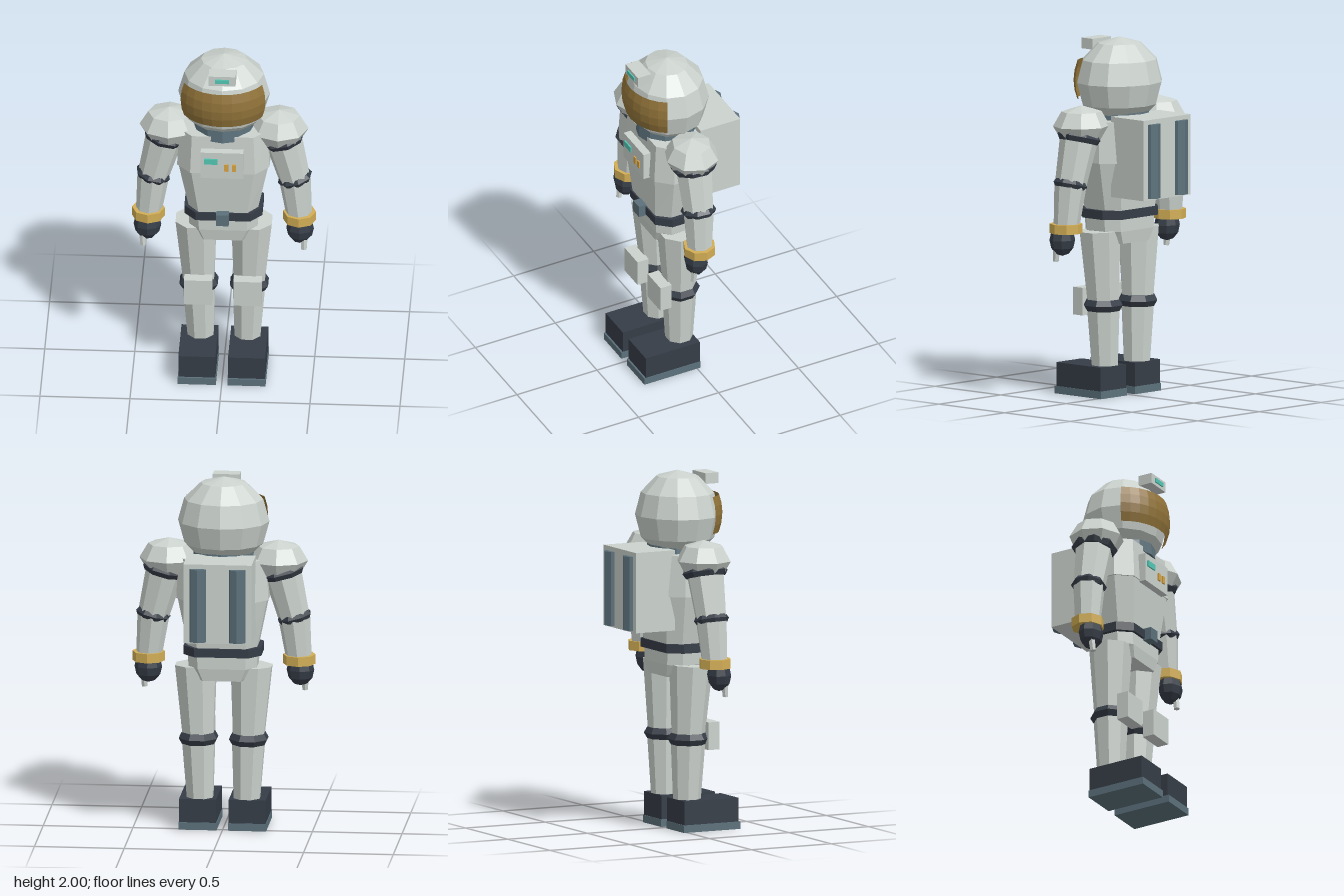
import * as THREE from 'three';

const mat = (name, color, side = THREE.FrontSide) => {
  const m = new THREE.MeshStandardMaterial({ color, flatShading: true, side });
  m.name = name;
  return m;
};

export function createModel() {
  const suit = mat('suit grey', 0xcbd2cd);
  const dark = mat('dark rubber', 0x363d47);
  const slate = mat('slate trim', 0x5c717b);
  const gold = mat('gold', 0xd2ae55);
  const visorGold = mat('visor bronze', 0x92743a, THREE.DoubleSide);
  const teal = mat('teal light', 0x52c8b4);
  const amber = mat('amber button', 0xd9a441);

  const model = new THREE.Group();
  model.name = 'astronaut';
  const Z = 0.065; // depth of the body axis
  const V = (x, y, z) => new THREE.Vector3(x, y, z);
  const UP = V(0, 1, 0);

  const add = (name, geo, m, x = 0, y = 0, z = 0) => {
    const mesh = new THREE.Mesh(geo, m);
    mesh.name = name;
    mesh.position.set(x, y, z);
    model.add(mesh);
    return mesh;
  };
  // box from its min and max on each axis
  const box = (name, m, x0, x1, y0, y1, z0, z1) =>
    add(name, new THREE.BoxGeometry(x1 - x0, y1 - y0, z1 - z0), m, (x0 + x1) / 2, (y0 + y1) / 2, (z0 + z1) / 2);
  const ellipsoid = (name, m, p, r, w, h) => {
    const mesh = add(name, new THREE.SphereGeometry(1, w, h), m, ...p);
    mesh.scale.set(...r);
    return mesh;
  };
  // eight-sided tapered limb from a (radius ra) to b (radius rb)
  const limb = (name, m, a, b, ra, rb, turn = 0, sides = 8) => {
    const geo = new THREE.CylinderGeometry(rb, ra, a.distanceTo(b), sides).rotateY(turn);
    const mesh = add(name, geo, m, ...a.clone().add(b).multiplyScalar(0.5).toArray());
    mesh.quaternion.setFromUnitVectors(UP, b.clone().sub(a).normalize());
    return mesh;
  };
  // joint ring around an axis
  const ring = (name, p, axis, r, tube, turn) => {
    const geo = new THREE.TorusGeometry(r, tube, 6, 8).rotateX(Math.PI / 2).rotateY(turn);
    const mesh = add(name, geo, dark, ...p.toArray());
    mesh.quaternion.setFromUnitVectors(UP, axis.clone().normalize());
  };
  // closed body section through octagons [y, halfWidth, halfDepth], bottom to top
  const body = (name, m, rows) => {
    const pos = [], idx = [];
    for (const [y, b, d] of rows) {
      const a = b * 0.7, e = d * 0.5;
      for (const [x, z] of [[a, d], [b, e], [b, -e], [a, -d], [-a, -d], [-b, -e], [-b, e], [-a, d]])
        pos.push(x, y, z + Z);
    }
    for (let r = 0; r < rows.length - 1; r++)
      for (let i = 0; i < 8; i++) {
        const p = r * 8 + i, q = r * 8 + (i + 1) % 8;
        idx.push(p, q, q + 8, p, q + 8, p + 8);
      }
    const t = (rows.length - 1) * 8;
    for (let i = 1; i < 7; i++) idx.push(0, i + 1, i, t, t + i, t + i + 1);
    const geo = new THREE.BufferGeometry();
    geo.setAttribute('position', new THREE.Float32BufferAttribute(pos, 3));
    geo.setIndex(idx);
    geo.computeVertexNormals();
    add(name, geo, m);
  };

  // helmet, visor and lamp
  ellipsoid('helmet', suit, [0, 1.75, Z], [0.255, 0.25, 0.23], 12, 6);
  const deg = Math.PI / 180;
  const visor = add('visor', new THREE.SphereGeometry(0.267, 10, 4, 28 * deg, 124 * deg, 67 * deg, 46 * deg),
    visorGold, 0, 1.762, Z);
  visor.scale.z = 0.92;
  box('helmetLamp', suit, -0.075, 0.075, 1.92, 1.98, 0.2, 0.283);
  box('helmetLampLight', teal, -0.04, 0.04, 1.938, 1.962, 0.282, 0.29);
  add('neckRing', new THREE.CylinderGeometry(0.165, 0.175, 0.1, 12), slate, 0, 1.57, Z);

  // torso
  body('abdomen', suit, [[1.03, 0.19, 0.14], [1.325, 0.25, 0.165]]);
  body('chest', suit, [[1.32, 0.257, 0.17], [1.55, 0.245, 0.155]]);
  body('pelvis', suit, [[0.86, 0.15, 0.125], [0.93, 0.19, 0.135], [1.02, 0.195, 0.135]]);
  body('belt', dark, [[1.0, 0.217, 0.15], [1.05, 0.217, 0.15]]);
  box('buckle', slate, -0.035, 0.035, 0.99, 1.06, 0.205, 0.255);

  // chest control panel
  box('chestPanel', suit, -0.12, 0.118, 1.31, 1.475, 0.21, 0.27);
  box('panelScreen', teal, -0.1, -0.025, 1.403, 1.437, 0.269, 0.278);
  for (const x of [0.012, 0.055]) box('panelButton', amber, x, x + 0.022, 1.36, 1.403, 0.269, 0.278);

  // backpack with two rear tanks
  box('backpack', suit, -0.19, 0.19, 1.13, 1.58, -0.297, -0.05);

  for (const s of [-1, 1]) {
    const side = s > 0 ? 'left' : 'right';
    add(side + 'Tank', new THREE.CylinderGeometry(0.055, 0.055, 0.415, 8), slate, s * 0.11, 1.347, -0.276);

    // arm
    const shoulder = V(s * 0.31, 1.53, Z), elbow = V(s * 0.393, 1.2, 0.07), wrist = V(s * 0.42, 0.95, 0.077);
    const armAxis = elbow.clone().sub(shoulder);
    ellipsoid(side + 'Shoulder', suit, [s * 0.305, 1.53, 0.068], [0.165, 0.115, 0.152], 8, 4);
    limb(side + 'UpperArm', suit, elbow, shoulder, 0.087, 0.112);
    ring(side + 'ShoulderRing', shoulder.clone().lerp(elbow, 0.19), armAxis, 0.097, 0.032, Math.PI / 8);
    limb(side + 'Forearm', suit, wrist, elbow, 0.07, 0.089);
    ring(side + 'ElbowRing', V(s * 0.393, 1.21, 0.07), armAxis, 0.075, 0.025, Math.PI / 8);
    add(side + 'Cuff', new THREE.CylinderGeometry(0.091, 0.091, 0.053, 8), gold, s * 0.42, 0.967, 0.078);
    ellipsoid(side + 'Glove', dark, [s * 0.424, 0.9, 0.102], [0.077, 0.09, 0.066], 8, 6);
    limb(side + 'Finger', suit, V(s * 0.447, 0.78, 0.13), V(s * 0.45, 0.87, 0.12), 0.017, 0.022, 0, 6);

    // leg
    const hip = V(s * 0.155, 0.93, 0.068), knee = V(s * 0.14, 0.52, 0.058), ankle = V(s * 0.13, 0.16, 0.055);
    limb(side + 'Thigh', suit, knee, hip, 0.092, 0.122, Math.PI / 8);
    limb(side + 'Shin', suit, ankle, knee, 0.077, 0.098, Math.PI / 8);
    ring(side + 'KneeRing', V(s * 0.14, 0.513, 0.058), UP, 0.078, 0.037, Math.PI / 8);
    const cx = s * 0.138;
    box(side + 'KneePad', suit, cx - 0.078, cx + 0.078, 0.45, 0.605, 0.145, 0.215);
    box(side + 'Boot', dark, cx - 0.103, cx + 0.103, 0.04, 0.175, -0.018, 0.32);
    box(side + 'Sole', slate, cx - 0.106, cx + 0.106, 0, 0.042, -0.022, 0.33);
  }
  return model;
}
